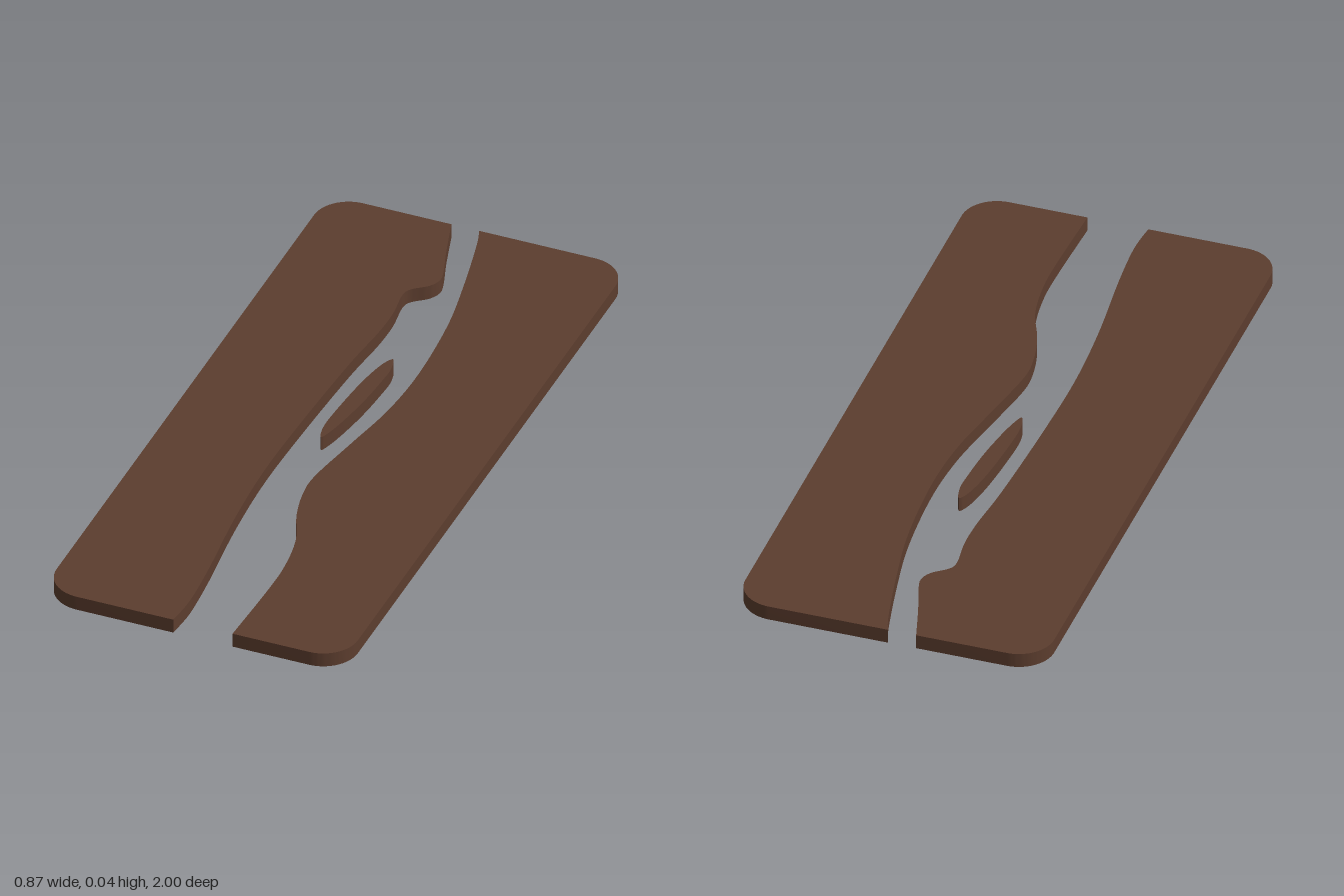
import * as THREE from 'three';
import { toCreasedNormals } from 'three/addons/utils/BufferGeometryUtils.js';

const HALF_W = 0.437, HALF_L = 1, THICK = 0.042, RADIUS = 0.1;

// Inner edges and island outline as [x, z], from back to front
const LEFT_EDGE = [
  [-0.08, -1], [-0.045, -0.88], [-0.014, -0.785], [-0.008, -0.745], [-0.024, -0.71],
  [-0.064, -0.675], [-0.074, -0.64], [-0.064, -0.55], [-0.066, -0.45], [-0.081, -0.29],
  [-0.095, 0], [-0.1, 0.26], [-0.087, 0.5], [-0.061, 0.74], [-0.05, 0.9], [-0.057, 1],
];
const RIGHT_EDGE = [
  [0, -1], [0.02, -0.935], [0.061, -0.745], [0.093, -0.555], [0.108, -0.32], [0.098, -0.13],
  [0.066, 0.053], [0.035, 0.23], [0.037, 0.32], [0.06, 0.42], [0.103, 0.53], [0.122, 0.65],
  [0.124, 0.77], [0.115, 1],
];
const ISLAND = [
  [0.018, -0.355], [0.031, -0.31], [0.03, -0.25], [0.019, -0.12], [-0.007, 0.025],
  [-0.02, 0.057], [-0.032, 0.015], [-0.029, -0.105], [-0.013, -0.26], [0.005, -0.335],
];

// Shape y is -z, so the plan lies flat after rotating
const toPlan = (pts) => pts.map(([x, z]) => new THREE.Vector2(x, -z));
const smooth = (pts, n) => new THREE.SplineCurve(toPlan(pts)).getPoints(n);

function slab(name, shape, material) {
  const geo = new THREE.ExtrudeGeometry(shape, { depth: THICK, bevelEnabled: false, curveSegments: 12 });
  geo.rotateX(-Math.PI / 2);
  const mesh = new THREE.Mesh(toCreasedNormals(geo, 0.6), material);
  mesh.name = name;
  return mesh;
}

// Half of the tabletop: wavy inner edge, two rounded outer corners
function halfShape(edge, side) {
  const pts = smooth(edge, 90);
  const shape = new THREE.Shape(pts);
  const w = side * HALF_W, inner = side * (HALF_W - RADIUS);
  shape.lineTo(inner, -HALF_L);
  const c = HALF_L - RADIUS;
  const start = -Math.PI / 2, mid = side > 0 ? 0 : -Math.PI;
  shape.absarc(inner, -c, RADIUS, start, mid, side < 0);
  shape.lineTo(w, c);
  shape.absarc(inner, c, RADIUS, mid, side > 0 ? Math.PI / 2 : -Math.PI * 1.5, side < 0);
  shape.lineTo(pts[0].x, HALF_L);
  return shape;
}

export function createModel() {
  const wood = new THREE.MeshStandardMaterial({ color: 0x5c3d2e });
  wood.name = 'dark wood';
  const group = new THREE.Group();
  group.name = 'splitTabletop';

  group.add(slab('rightSlab', halfShape(LEFT_EDGE, -1), wood));
  group.add(slab('leftSlab', halfShape(RIGHT_EDGE, 1), wood));

  // Small wooden island in the channel
  const loop = new THREE.CatmullRomCurve3(ISLAND.map(([x, z]) => new THREE.Vector3(x, -z, 0)), true);
  const outline = loop.getPoints(48).slice(0, -1).map((p) => new THREE.Vector2(p.x, p.y));
  group.add(slab('island', new THREE.Shape(outline), wood));
  return group;
}
